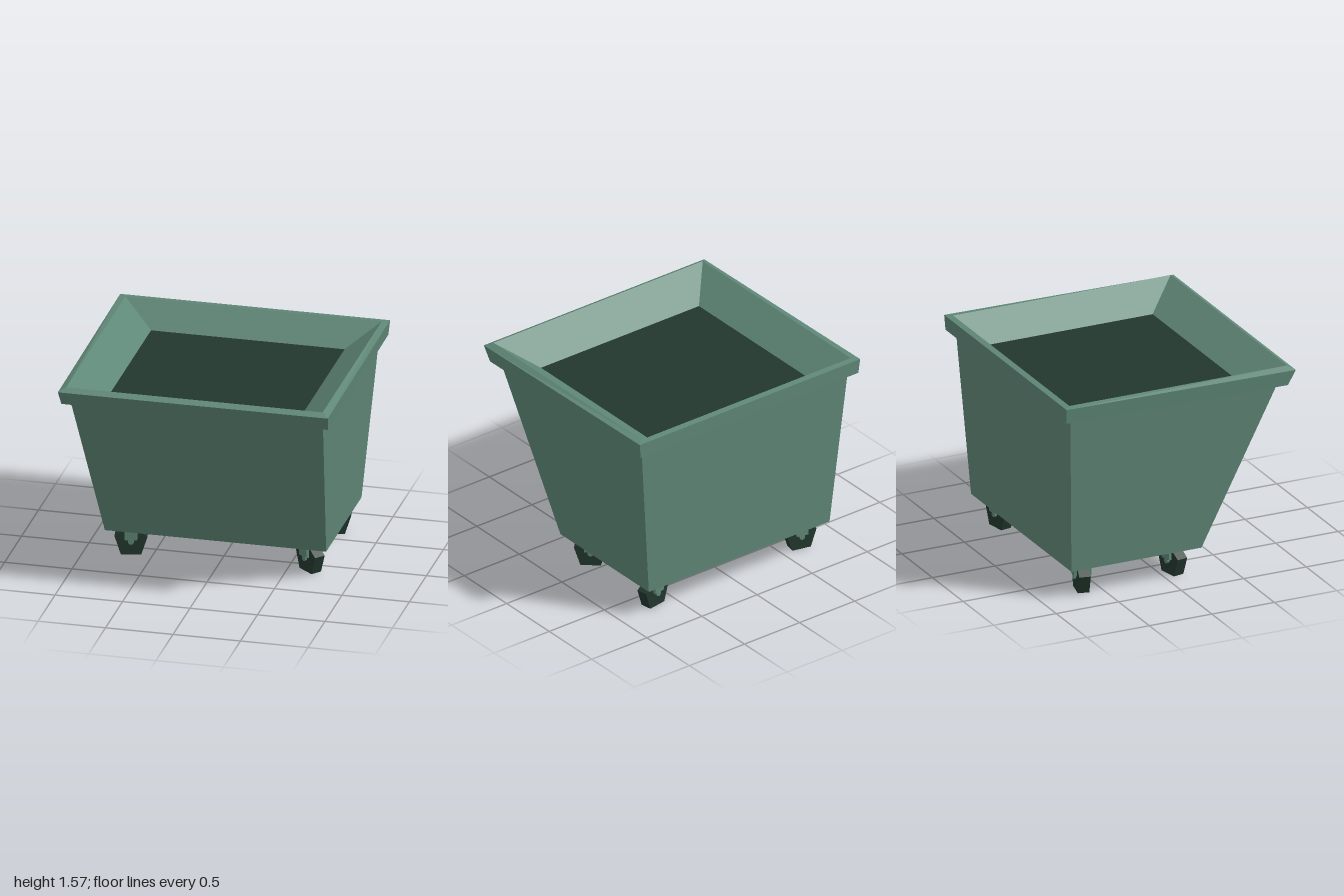
import * as THREE from 'three';

const green = new THREE.MeshStandardMaterial({ color: 0x5f8777, flatShading: true });
green.name = 'paintedGreen';
const dark = new THREE.MeshStandardMaterial({ color: 0x22372e, flatShading: true });
dark.name = 'darkGreen';

function mesh(name, geometry, material, parent, x = 0, y = 0, z = 0) {
  const m = new THREE.Mesh(geometry, material);
  m.name = name;
  m.position.set(x, y, z);
  parent.add(m);
  return m;
}

// Four corners of a rectangular section that may tilt from front to back
function ring([halfX, frontZ, frontY, backZ, backY]) {
  return [
    [halfX, frontY, frontZ], [halfX, backY, backZ],
    [-halfX, backY, backZ], [-halfX, frontY, frontZ],
  ];
}

function facesGeometry(quads) {
  const pos = [];
  for (const [a, b, c, d] of quads) pos.push(...a, ...b, ...c, ...a, ...c, ...d);
  const g = new THREE.BufferGeometry();
  g.setAttribute('position', new THREE.Float32BufferAttribute(pos, 3));
  g.computeVertexNormals();
  return g;
}

// Walls joining consecutive sections
function loft(sections) {
  const rings = sections.map(ring);
  const quads = [];
  for (let k = 0; k < rings.length - 1; k++) {
    for (let i = 0; i < 4; i++) {
      const j = (i + 1) % 4;
      quads.push([rings[k][i], rings[k][j], rings[k + 1][j], rings[k + 1][i]]);
    }
  }
  return quads;
}

// Fork with a five-sided wheel, swivelled by yaw
function caster(name, x, z, yaw) {
  const g = new THREE.Group();
  g.name = name;
  g.position.set(x, 0, z);
  g.rotation.y = yaw;
  const wheel = new THREE.CylinderGeometry(0.125, 0.125, 0.085, 5);
  wheel.rotateX(Math.PI / 2);
  wheel.rotateZ(Math.PI);
  // Put one corner at the top so the wheel rests on a flat side
  const p = wheel.attributes.position;
  let lowest = 0;
  for (let i = 0; i < p.count; i++) lowest = Math.min(lowest, p.getY(i));
  if (lowest < -0.11) wheel.rotateZ(Math.PI);
  mesh('wheel', wheel, dark, g, 0, 0.102, 0);
  for (const s of [-1, 1]) {
    mesh('forkPlate', new THREE.BoxGeometry(0.09, 0.11, 0.022), green, g, 0, 0.175, s * 0.054);
  }
  const hub = new THREE.CylinderGeometry(0.022, 0.022, 0.12, 10);
  hub.rotateX(Math.PI / 2);
  mesh('axle', hub, green, g, 0, 0.105, 0);
  return g;
}

export function createModel() {
  const model = new THREE.Group();
  model.name = 'wheeledBin';

  const base = [0.82, 0.25, 0.22, -0.79, 0.22];
  const neck = [0.935, 0.8, 1.435, -0.855, 1.455];
  const rimLow = [0.988, 0.86, 1.435, -0.912, 1.455];
  const rimEdge = [1.0, 0.917, 1.547, -0.917, 1.567];
  const rimTop = [0.95, 0.87, 1.572, -0.87, 1.572];
  const fill = [0.717, 0.612, 1.4, -0.7, 1.4];

  // Tapered bin with a sloping front
  mesh('binBody', facesGeometry([...loft([base, neck]), ring(base).reverse()]), green, model);
  // Overhanging rim and the inner slopes
  mesh('rim', facesGeometry(loft([neck, rimLow, rimEdge, rimTop])), green, model);
  mesh('innerWalls', facesGeometry(loft([rimTop, fill])), green, model);
  // Dark inside
  mesh('innerFloor', facesGeometry([ring(fill)]), dark, model);

  // Swivelling casters
  model.add(
    caster('frontLeftCaster', 0.663, 0.095, -0.7),
    caster('frontRightCaster', -0.663, 0.095, 0.2),
    caster('backLeftCaster', 0.663, -0.635, 0.17),
    caster('backRightCaster', -0.663, -0.635, -0.22),
  );
  return model;
}
